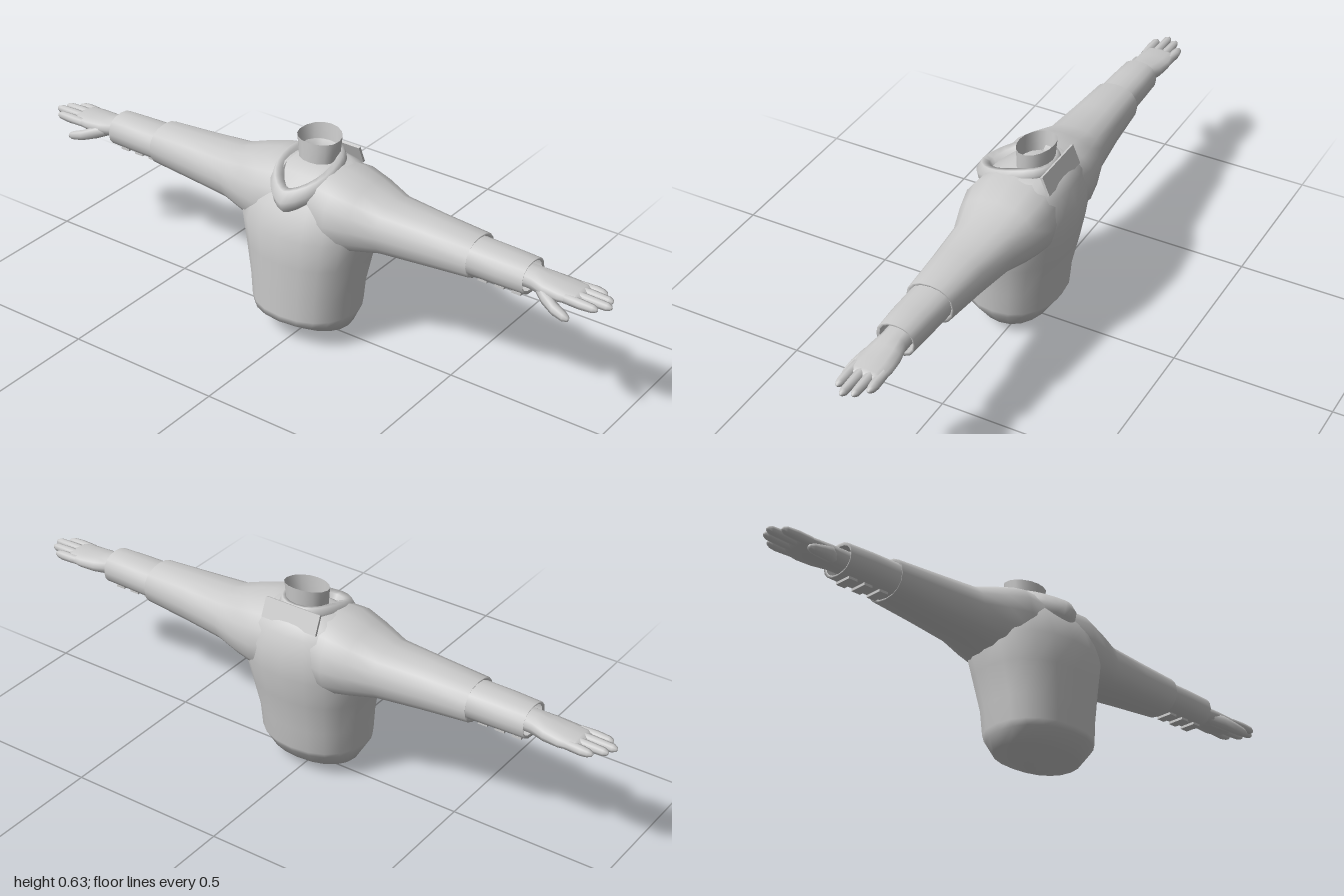
import * as THREE from 'three';

const material = new THREE.MeshStandardMaterial({ color: 0xcccccc, side: THREE.DoubleSide });

// Skin a list of closed rings that all have the same number of points
function loft(name, rings) {
  const n = rings[0].length, index = [];
  for (let i = 0; i < rings.length - 1; i++) {
    for (let j = 0; j < n; j++) {
      const a = i * n + j, b = i * n + (j + 1) % n;
      index.push(a, a + n, b, b, a + n, b + n);
    }
  }
  const geometry = new THREE.BufferGeometry();
  geometry.setAttribute('position', new THREE.Float32BufferAttribute(rings.flat(2), 3));
  geometry.setIndex(index);
  geometry.computeVertexNormals();
  const mesh = new THREE.Mesh(geometry, material);
  mesh.name = name;
  return mesh;
}

function ring(n, point) {
  return Array.from({ length: n }, (_, i) => point(i / n * Math.PI * 2));
}

const soft = (v, power) => Math.sign(v) * Math.abs(v) ** power;

// Upright body from rows of [y, half width, front z, back z]
function upright(name, rows, n, power = 1) {
  return loft(name, rows.map(([y, w, f, b]) => ring(n, a => [
    -w * soft(Math.sin(a), power), y, (f + b) / 2 + (f - b) / 2 * soft(Math.cos(a), power)])));
}

// Sideways limb from rows of [x, bottom y, top y, back z, front z]
function limb(name, side, rows, n) {
  return loft(name, rows.map(([x, y0, y1, z0, z1]) => ring(n, a => [
    side * x,
    (y0 + y1) / 2 + (y1 - y0) / 2 * soft(Math.sin(a), 0.88),
    (z0 + z1) / 2 + side * (z1 - z0) / 2 * soft(Math.cos(a), 0.88)])));
}

// Round finger from rows of [x, y, z, radius]
function finger(name, side, rows) {
  return limb(name, side, rows.map(([x, y, z, r]) => [x, y - r, y + r, z - r, z + r]), 8);
}

function createArm(side) {
  const arm = new THREE.Group();
  arm.name = side > 0 ? 'leftArm' : 'rightArm';

  arm.add(limb('sleeve', side, [
    [0.06, 0.31, 0.555, -0.15, 0.12],
    [0.13, 0.31, 0.55, -0.16, 0.13],
    [0.20, 0.325, 0.53, -0.145, 0.112],
    [0.28, 0.342, 0.503, -0.118, 0.085],
    [0.42, 0.352, 0.496, -0.1, 0.072],
    [0.57, 0.364, 0.488, -0.088, 0.062],
    [0.565, 0.374, 0.478, -0.078, 0.052],
  ], 16));

  arm.add(limb('forearmCuff', side, [
    [0.54, 0.372, 0.478, -0.077, 0.054],
    [0.66, 0.374, 0.476, -0.074, 0.054],
    [0.745, 0.374, 0.474, -0.07, 0.05],
    [0.742, 0.382, 0.466, -0.062, 0.042],
  ], 16));

  // Short straps under the forearm
  for (const x of [0.6, 0.655, 0.71]) {
    const strap = new THREE.Mesh(new THREE.BoxGeometry(0.03, 0.008, 0.055), material);
    strap.name = 'forearmStrap';
    strap.position.set(side * x, 0.369, -0.01);
    arm.add(strap);
  }

  // Hand held palm down
  const hand = new THREE.Group();
  hand.name = 'hand';
  hand.add(limb('palm', side, [
    [0.70, 0.392, 0.454, -0.05, 0.03],
    [0.76, 0.392, 0.453, -0.052, 0.032],
    [0.80, 0.39, 0.446, -0.062, 0.042],
    [0.85, 0.394, 0.44, -0.068, 0.045],
    [0.895, 0.403, 0.436, -0.066, 0.042],
    [0.91, 0.412, 0.43, -0.055, 0.032],
    [0.912, 0.42, 0.421, -0.02, -0.01],
  ], 12));
  [[0.031, 0.972], [0.002, 1], [-0.027, 0.988], [-0.054, 0.955]].forEach(([z, tip], i) => {
    const y = 0.421 - Math.abs(i - 1.4) * 0.002;
    hand.add(finger('finger', side, [
      [0.87, y, z * 0.95, 0.014],
      [0.92, y, z, 0.0145],
      [tip - 0.015, y, z, 0.012],
      [tip - 0.004, y, z, 0.007],
      [tip, y, z, 0.0005],
    ]));
  });
  hand.add(finger('thumb', side, [
    [0.77, 0.415, 0.008, 0.018],
    [0.81, 0.403, 0.033, 0.021],
    [0.85, 0.389, 0.051, 0.018],
    [0.885, 0.381, 0.059, 0.014],
    [0.899, 0.379, 0.061, 0.008],
    [0.903, 0.379, 0.061, 0.0005],
  ]));
  arm.add(hand);
  return arm;
}

// Collar band: rows of [half width, back z, front z, back y, front y], pointed in front
function createCollar() {
  const rows = [
    [0.088, -0.1, 0.13, 0.535, 0.43],
    [0.1, -0.105, 0.15, 0.545, 0.452],
    [0.1, -0.105, 0.157, 0.56, 0.478],
    [0.09, -0.1, 0.14, 0.577, 0.51],
    [0.072, -0.088, 0.115, 0.577, 0.51],
    [0.06, -0.08, 0.09, 0.54, 0.47],
  ];
  return loft('collar', rows.map(([w, zb, zf, yb, yf]) => ring(24, a => {
    const u = Math.cos(a);
    return [
      -w * soft(Math.sin(a), u > 0 ? 1.35 : 0.8),
      yb + (yf - yb) * ((1 + u) / 2) ** 1.8,
      (zf + zb) / 2 + (zf - zb) / 2 * u];
  })));
}

export function createModel() {
  const model = new THREE.Group();
  model.name = 'hoodedTorso';

  // Torso, ending in a shallow point below
  model.add(upright('torso', [
    [0, 0.001, 0.001, -0.001],
    [0.042, 0.143, 0.11, -0.088],
    [0.08, 0.162, 0.165, -0.113],
    [0.1, 0.17, 0.166, -0.125],
    [0.175, 0.176, 0.167, -0.131],
    [0.28, 0.195, 0.17, -0.154],
    [0.37, 0.215, 0.17, -0.17],
    [0.44, 0.21, 0.143, -0.17],
    [0.5, 0.185, 0.1, -0.152],
    [0.53, 0.145, 0.06, -0.13],
    [0.55, 0.1, 0.03, -0.1],
    [0.553, 0.001, -0.03, -0.032],
  ], 20, 0.9));

  // Open neck with a rim that rises to the back
  model.add(loft('neck', [0, 0.5, 1].map(t => ring(16, a => {
    const u = Math.cos(a);
    return [
      -(0.062 + 0.008 * t) * Math.sin(a),
      0.53 + t * (0.088 - 0.008 * u + 0.004 * u * u),
      -0.034 + (0.052 + 0.005 * (u < 0 ? t : 0)) * u - (u < 0 ? 0.004 * t : 0)];
  }))));

  model.add(createCollar());

  // Flat flap behind the collar
  const flap = new THREE.Mesh(new THREE.BoxGeometry(0.19, 0.062, 0.008), material);
  flap.name = 'backFlap';
  flap.position.set(0, 0.549, -0.115);
  flap.rotation.x = 0.4;
  model.add(flap);

  for (const side of [1, -1]) model.add(createArm(side));
  return model;
}
